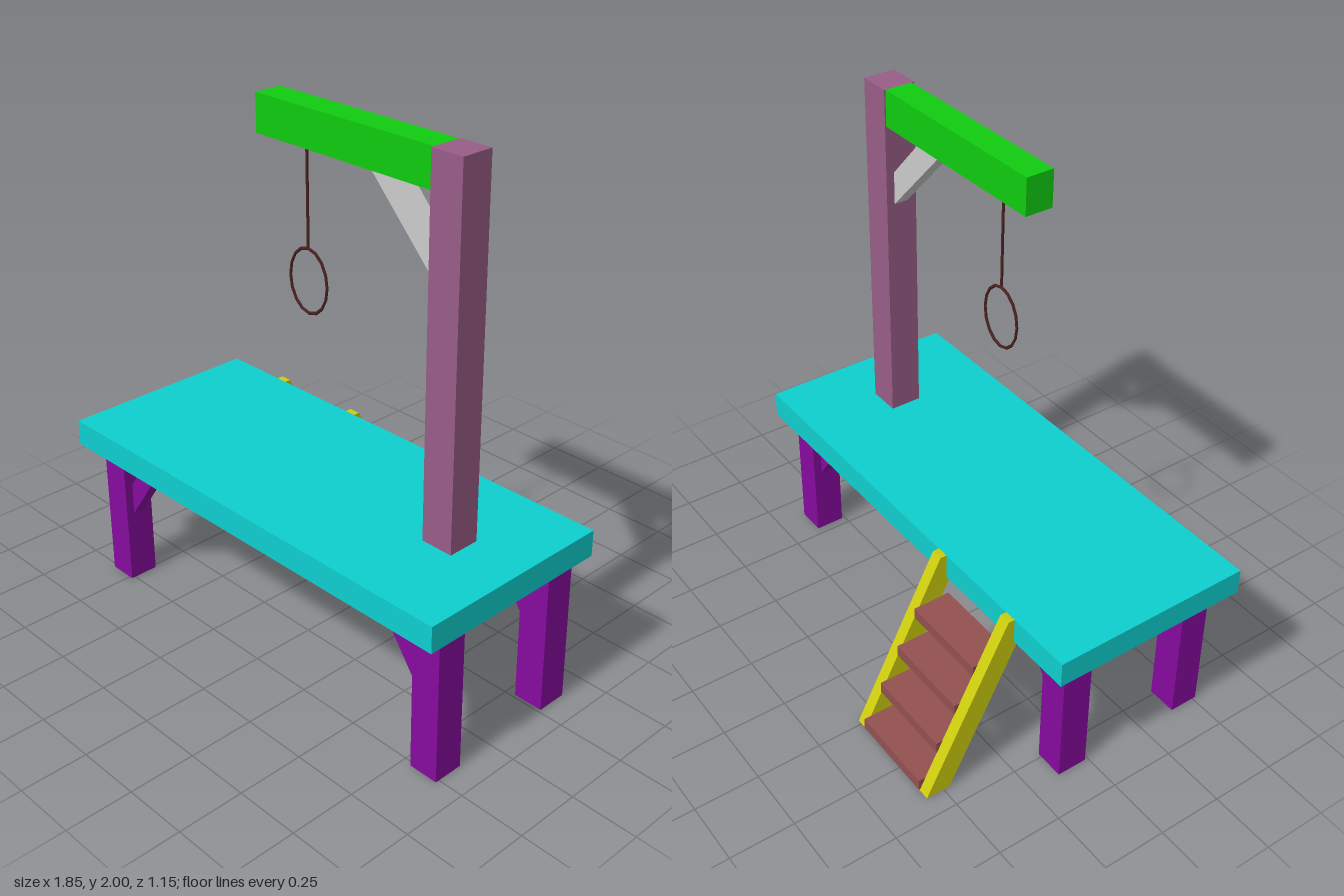
import * as THREE from 'three';

const mat = (color) => new THREE.MeshStandardMaterial({ color, flatShading: true });
const M = {
  deck: mat(0x0fcfcf), leg: mat(0x860a9e), post: mat(0x985d87), beam: mat(0x10cc10),
  brace: mat(0xcccccc), rope: mat(0x4a2020), rail: mat(0xcccc0f), step: mat(0x945050),
};

export function createModel() {
  const root = new THREE.Group();
  const add = (name, geometry, material) => {
    const mesh = new THREE.Mesh(geometry, material);
    mesh.name = name;
    root.add(mesh);
    return mesh;
  };

  // Box given by its extents on each axis
  const box = (name, [x0, x1], [y0, y1], [z0, z1], material) =>
    add(name, new THREE.BoxGeometry(x1 - x0, y1 - y0, z1 - z0), material)
      .position.set((x0 + x1) / 2, (y0 + y1) / 2, (z0 + z1) / 2);

  // Flat outline extruded by a thickness, centred on its own plane
  const slab = (points, thickness) => {
    const shape = new THREE.Shape(points.map(([x, y]) => new THREE.Vector2(x, y)));
    return new THREE.ExtrudeGeometry(shape, { depth: thickness, bevelEnabled: false })
      .translate(0, 0, -thickness / 2);
  };

  // Platform
  box('platform', [-0.925, 0.92], [0.55, 0.65], [-0.21, 0.575], M.deck);

  // Four legs, each with a diagonal brace towards the middle
  for (const [z0, z1] of [[0.4, 0.515], [-0.13, -0.012]]) {
    for (const side of [-1, 1]) {
      const [x0, x1] = side < 0 ? [-0.85, -0.735] : [0.785, 0.9];
      box('leg', [x0, x1], [0, 0.55], [z0, z1], M.leg);
      const x = side < 0 ? x1 : x0;
      const outline = [[x, 0.285], [x - side * 0.188, 0.55], [x - side * 0.098, 0.55], [x, 0.41]];
      add('legBrace', slab(outline, 0.05), M.leg).position.z = (z0 + z1) / 2;
    }
  }

  // Post, overhead beam and the brace between them
  box('post', [0.565, 0.692], [0.65, 2], [0.12, 0.245], M.post);
  box('beam', [-0.235, 0.565], [1.862, 2], [0.125, 0.233], M.beam);
  add('beamBrace', slab([[0.565, 1.55], [0.565, 1.677], [0.395, 1.862], [0.27, 1.862]], 0.055), M.brace)
    .position.z = 0.18;

  // Rope and its oval loop
  add('rope', new THREE.CylinderGeometry(0.005, 0.005, 0.365, 8), M.rope)
    .position.set(-0.047, 1.68, 0.18);
  const loop = add('ropeLoop', new THREE.TorusGeometry(0.091, 0.005, 6, 16), M.rope);
  loop.scale.y = 1.3;
  loop.position.set(-0.047, 1.374, 0.18);

  // Ladder rails: profile drawn as (-z, y), then turned to face sideways
  const rail = [[0.57, 0], [0.475, 0], [0.19, 0.55], [0.21, 0.55], [0.21, 0.65], [0.235, 0.65]];
  for (const x of [-0.648, -0.253]) {
    add('ladderRail', slab(rail, 0.046).rotateY(Math.PI / 2), M.rail).position.x = x;
  }

  // Ladder steps
  for (let i = 0; i < 4; i++) {
    const y = 0.004 + i * 0.1405;
    const z = -0.573 + i * 0.0755;
    box('ladderStep', [-0.626, -0.275], [y, y + 0.045], [z, z + 0.145], M.step);
  }
  return root;
}
